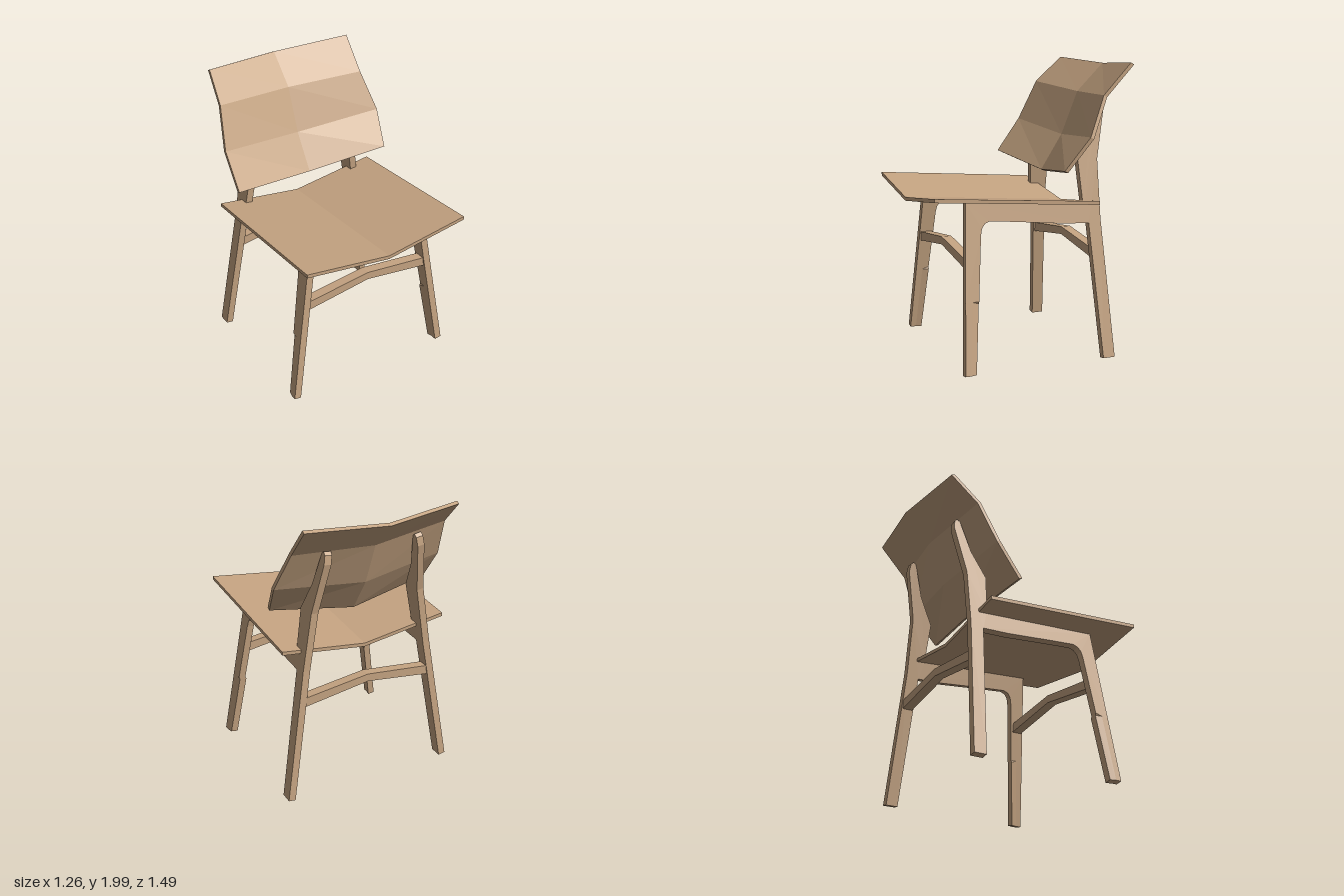
import * as THREE from 'three';

const wood = new THREE.MeshStandardMaterial({ color: 0xc4a381 });
wood.name = 'light wood';

function part(name, geo) {
  const mesh = new THREE.Mesh(geo, wood);
  mesh.name = name;
  return mesh;
}

// Thin faceted panel: rows of points, left to right and top to bottom as seen
// from its outer face, thickened by an offset to the inner face.
function panel(name, rows, offset) {
  const d = new THREE.Vector3(...offset);
  const top = rows.map(r => r.map(p => new THREE.Vector3(...p)));
  const low = top.map(r => r.map(p => p.clone().add(d)));
  const pos = [];
  const quad = (a, b, c, e) => [a, c, b, a, e, c].forEach(v => pos.push(v.x, v.y, v.z));
  const m = rows.length - 1, n = rows[0].length - 1;
  for (let i = 0; i < m; i++) {
    for (let j = 0; j < n; j++) {
      quad(top[i][j], top[i][j + 1], top[i + 1][j + 1], top[i + 1][j]);
      quad(low[i][j], low[i + 1][j], low[i + 1][j + 1], low[i][j + 1]);
    }
    quad(top[i][0], top[i + 1][0], low[i + 1][0], low[i][0]);
    quad(top[i + 1][n], top[i][n], low[i][n], low[i + 1][n]);
  }
  for (let j = 0; j < n; j++) {
    quad(top[0][j + 1], top[0][j], low[0][j], low[0][j + 1]);
    quad(top[m][j], top[m][j + 1], low[m][j + 1], low[m][j]);
  }
  const geo = new THREE.BufferGeometry();
  geo.setAttribute('position', new THREE.Float32BufferAttribute(pos, 3));
  geo.computeVertexNormals();
  return part(name, geo);
}

// Centred extrusion of a polygon.
function plate(points, depth) {
  const shape = new THREE.Shape(points.map(p => new THREE.Vector2(...p)));
  const geo = new THREE.ExtrudeGeometry(shape, { depth, bevelEnabled: false });
  return geo.translate(0, 0, -depth / 2);
}

// One side: front leg, seat rail, rear leg and back post in a single profile (z, y).
const SIDE = [
  [0.52, 0.48], [0.48, 1.115], [-0.355, 1.055], [-0.335, 1.34], [-0.435, 1.53],
  [-0.505, 1.765], [-0.525, 1.78], [-0.545, 1.76], [-0.552, 1.7], [-0.48, 1.35],
  [-0.48, 0.95], [-0.53, 0.01], [-0.445, 0.01], [-0.39, 0.925], [-0.2, 0.935],
  [0.15, 0.972], [0.32, 0.988], [0.355, 0.975], [0.378, 0.945], [0.388, 0.9], [0.427, 0.48],
];
const THICK = 0.05;
const TILT = 0.16;
const splay = y => 0.609 - 0.157 * y; // the frames lean outward toward the floor

function sideFrame(name, side) {
  const geo = plate(SIDE, THICK).rotateY(-Math.PI / 2);
  const p = geo.attributes.position;
  for (let i = 0; i < p.count; i++) {
    const x = p.getX(i), y = p.getY(i);
    p.setXYZ(i, x + side * splay(y), y + side * x * TILT, p.getZ(i));
  }
  geo.computeVertexNormals();
  return part(name, geo);
}

// Lower front leg, with its rear half set in slightly below a small ledge
function lowerLeg(name, side) {
  const rows = [[0.48, 0.52, 0.427, 0], [0.465, 0.521, 0.428, 0.01], [0.01, 0.55, 0.47, 0.01]]
    .map(([y, front, rear, inset]) => {
      const x = splay(y) + THICK / 2, h = y + TILT * THICK / 2;
      const row = [[x, front], [x, (front + rear) / 2], [x - inset, rear]]
        .map(([px, z]) => [side * px, h, z]);
      return side > 0 ? row : row.reverse();
    });
  return panel(name, rows, [-side * THICK, -TILT * THICK, 0]);
}

// Chevron-shaped cross bar between two legs
function stretcher(name, z) {
  const bar = part(name, plate([
    [-0.49, 0.685], [0, 0.755], [0.49, 0.685], [0.48, 0.752], [0, 0.81], [-0.48, 0.752],
  ], 0.07));
  bar.position.z = z;
  return bar;
}

export function createModel() {
  const chair = new THREE.Group();
  chair.name = 'chair';

  // Folded seat, sloping down to the rear
  chair.add(panel('seat', [
    [[-0.63, 1.095, -0.415], [-0.012, 1.01, -0.415], [0.6, 1.095, -0.415]],
    [[-0.63, 1.185, 0.735], [-0.012, 1.1, 0.742], [0.6, 1.185, 0.735]],
  ], [0, -0.025, 0]));

  // Folded backrest, three bands high
  chair.add(panel('backrest', [
    [[-0.537, 2.0, -0.648], [0.005, 1.975, -0.725], [0.562, 2.0, -0.648]],
    [[-0.565, 1.82, -0.46], [0.002, 1.78, -0.53], [0.555, 1.79, -0.455]],
    [[-0.608, 1.54, -0.335], [0, 1.48, -0.41], [0.622, 1.525, -0.33]],
    [[-0.608, 1.305, -0.165], [0, 1.236, -0.255], [0.58, 1.305, -0.165]],
  ], [0, -0.012, -0.024]));

  // Side frames and legs
  for (const [word, side] of [['left', 1], ['right', -1]]) {
    chair.add(sideFrame(word + 'SideFrame', side), lowerLeg(word + 'LowerFrontLeg', side));
  }
  chair.add(stretcher('frontStretcher', 0.458), stretcher('rearStretcher', -0.45));
  return chair;
}
